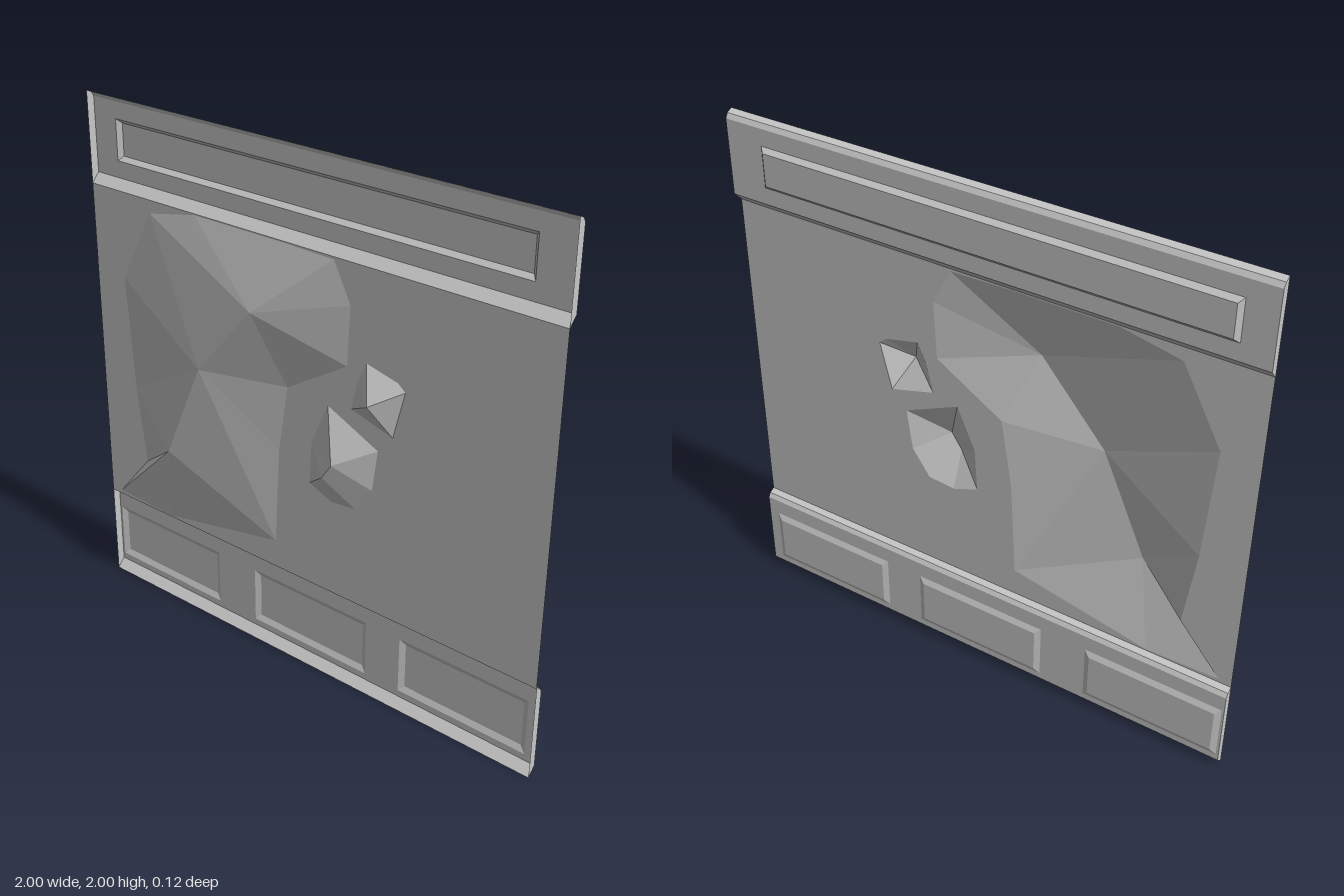
import * as THREE from 'three';
import { mergeGeometries } from 'three/addons/utils/BufferGeometryUtils.js';

const SHEET_Z = -0.01;
const BAND_Z = -0.042;

// flat-shaded geometry from a list of [a, b, c] corner triples
function fromTriangles(tris) {
  const g = new THREE.BufferGeometry();
  g.setAttribute('position', new THREE.Float32BufferAttribute(tris.flat(2), 3));
  g.computeVertexNormals();
  return g;
}

const quad = (a, b, c, d) => [[a, b, c], [a, c, d]];

const rectPoints = ([x0, x1, y0, y1]) => [[x0, y0], [x1, y0], [x1, y1], [x0, y1]];

// flat face with outlines cut out of it
function plate(outline, holes, z) {
  const toV = (pts) => pts.map(([x, y]) => new THREE.Vector2(x, y));
  const shape = new THREE.Shape(toV(outline));
  for (const h of holes) shape.holes.push(new THREE.Path(toV(h).reverse()));
  return new THREE.ShapeGeometry(shape).translate(0, 0, z);
}

// rectangular sunken panel with sloping sides
function recess([x0, x1, y0, y1], inset, depthZ) {
  const outer = rectPoints([x0, x1, y0, y1]).map((p) => [...p, BAND_Z]);
  const inner = rectPoints([x0 + inset, x1 - inset, y0 + inset, y1 - inset]).map((p) => [...p, depthZ]);
  const tris = [];
  for (let i = 0; i < 4; i++) {
    const j = (i + 1) % 4;
    tris.push(...quad(outer[i], outer[j], inner[j], inner[i]));
  }
  tris.push(...quad(...inner));
  return fromTriangles(tris);
}

// faceted mound: outline points [x, y, ridge index] joined up to a raised ridge
function mound(outline, ridge, z) {
  const top = ridge.map(([x, y]) => [x, y, z]);
  const tris = [];
  outline.forEach(([x, y, a], i) => {
    const [qx, qy, b] = outline[(i + 1) % outline.length];
    const p = [x, y, SHEET_Z];
    tris.push([p, [qx, qy, SHEET_Z], top[b]]);
    if (a !== b) tris.push([p, top[b], top[a]]);
  });
  return fromTriangles(tris);
}

const MOUNDS = [
  {
    name: 'largeMound',
    ridge: [[-0.18, 1.4], [-0.43, 1.11], [-0.6, 0.72]],
    outline: [
      [-0.13, 0.485, 2], [-0.11, 0.87, 1], [-0.07, 1.13, 1], [0.19, 1.29, 0], [0.2, 1.51, 0],
      [0.13, 1.65, 0], [-0.09, 1.655, 0], [-0.49, 1.655, 0], [-0.71, 1.61, 0], [-0.86, 1.33, 1],
      [-0.83, 0.89, 1], [-0.79, 0.58, 2], [-0.95, 0.39, 2], [-0.67, 0.38, 2],
    ],
  },
  {
    name: 'lowerBump',
    ridge: [[0.18, 0.94], [0.14, 0.88]],
    outline: [
      [0.03, 0.79, 1], [0.13, 0.75, 1], [0.235, 0.76, 1], [0.305, 0.86, 1],
      [0.326, 1.02, 0], [0.11, 1.12, 0], [0.04, 0.96, 0],
    ],
  },
  {
    name: 'upperBump',
    ridge: [[0.326, 1.21]],
    outline: [
      [0.21, 1.14, 0], [0.385, 1.09, 0], [0.43, 1.27, 0], [0.4, 1.295, 0],
      [0.27, 1.326, 0], [0.235, 1.25, 0],
    ],
  },
];

const BANDS = [
  {
    name: 'topBand', bottom: 1.66, top: 2, depth: -0.058, inset: 0.016,
    panels: [[-0.893, 0.856, 1.757, 1.91]],
  },
  {
    name: 'bottomBand', bottom: 0, top: 0.375, depth: -0.052, inset: 0.022,
    panels: [[-0.99, -0.45, 0.06, 0.284], [-0.265, 0.27, 0.06, 0.284], [0.42, 0.957, 0.06, 0.284]],
  },
];

export function createModel() {
  const stone = new THREE.MeshStandardMaterial({ color: 0xc8c8c8, side: THREE.DoubleSide });
  stone.name = 'grey stone';
  const model = new THREE.Group();
  model.name = 'wallPanel';
  const add = (name, geometry, parent = model) => {
    const mesh = new THREE.Mesh(geometry, stone);
    mesh.name = name;
    parent.add(mesh);
  };

  // rock sheet with its raised mounds
  const holes = MOUNDS.map((m) => m.outline.map(([x, y]) => [x, y]));
  add('rockSheet', plate(rectPoints([-1, 1, 0.375, 1.66]), holes, SHEET_Z));
  for (const m of MOUNDS) add(m.name, mound(m.outline, m.ridge, 0.058));

  // hollow trim bands set back from the sheet
  for (const b of BANDS) {
    const band = new THREE.Group();
    band.name = b.name;
    model.add(band);

    // profile as [z, y], from the lower lip to the rounded upper lip
    const profile = [
      [SHEET_Z, b.bottom], [BAND_Z, b.bottom + 0.034], [BAND_Z, b.top - 0.027],
      [-0.032, b.top - 0.01], [SHEET_Z, b.top],
    ];
    const lips = [];
    for (const i of [0, 2, 3]) {
      const [z0, y0] = profile[i];
      const [z1, y1] = profile[i + 1];
      lips.push(...quad([-1, y0, z0], [1, y0, z0], [1, y1, z1], [-1, y1, z1]));
    }
    add('lips', fromTriangles(lips), band);
    add('face', plate(rectPoints([-1, 1, profile[1][1], profile[2][1]]), b.panels.map(rectPoints), BAND_Z), band);
    add('sunkenPanels', mergeGeometries(b.panels.map((p) => recess(p, b.inset, b.depth))), band);

    // end caps
    for (const x of [-1, 1]) {
      const cap = plate(profile, [], 0).rotateY(-Math.PI / 2).translate(x, 0, 0);
      add(x > 0 ? 'leftCap' : 'rightCap', cap, band);
    }
  }
  return model;
}
